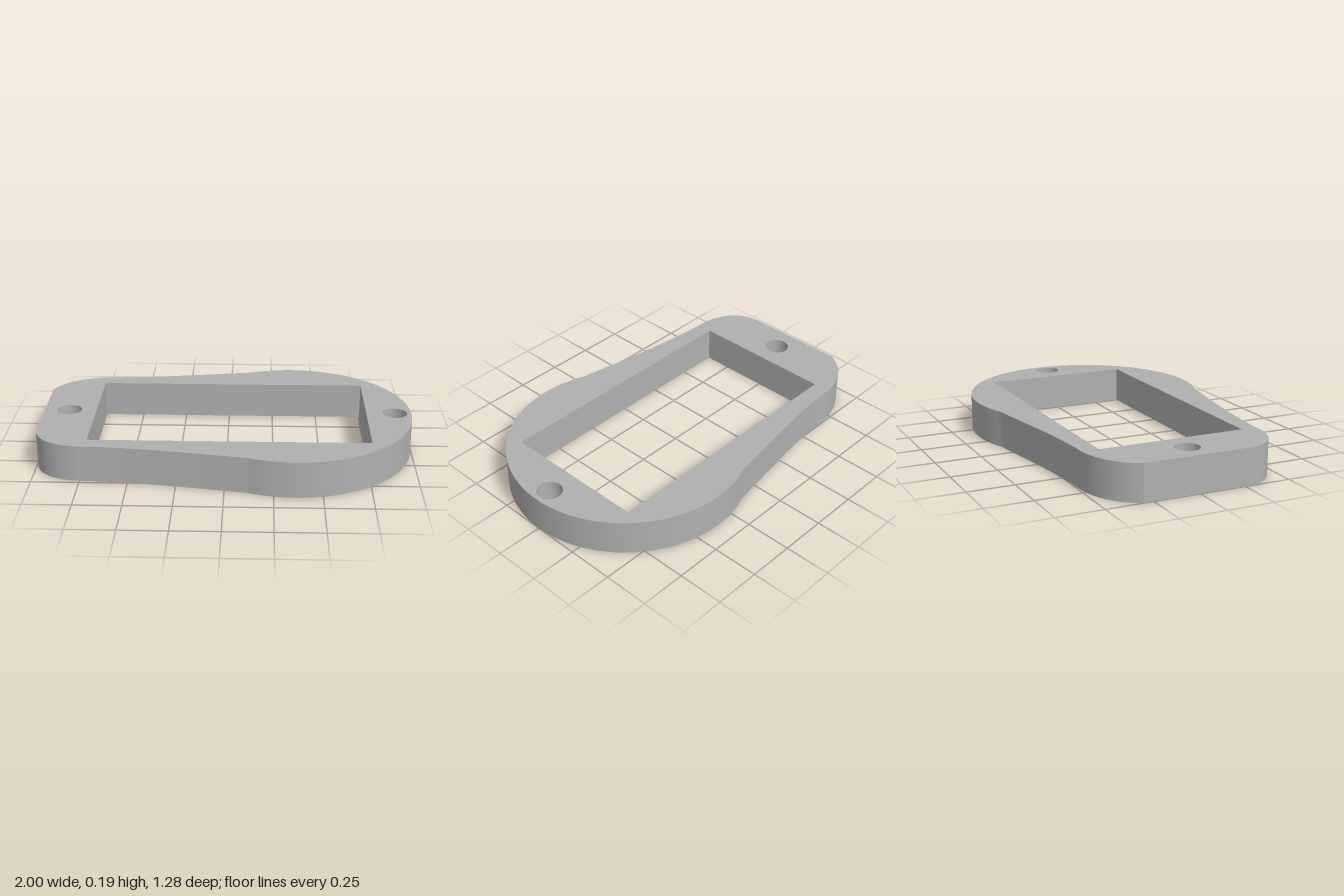
import * as THREE from 'three';
import { toCreasedNormals } from 'three/addons/utils/BufferGeometryUtils.js';

const HEIGHT = 0.195;

export function createModel() {
  const group = new THREE.Group();
  group.name = 'mountingFrame';
  const grey = new THREE.MeshStandardMaterial({ color: 0xb0b0b0 });
  grey.name = 'grey';

  // Outline seen from above (shape y is -z): narrow rounded end, flaring sides, round end
  const cx = 0.36, r = 0.64;
  const a = Math.atan2(0.594, 0.12 - cx);
  const outline = new THREE.Shape();
  outline.moveTo(-1, 0.3);
  outline.lineTo(-1, -0.25);
  outline.bezierCurveTo(-1, -0.38, -0.91, -0.465, -0.77, -0.48);
  outline.bezierCurveTo(-0.48, -0.485, -0.2, -0.54, 0.12, -0.594);
  outline.absarc(cx, 0, r, -a, a, false);
  outline.bezierCurveTo(-0.2, 0.545, -0.45, 0.495, -0.71, 0.49);
  outline.bezierCurveTo(-0.85, 0.475, -0.95, 0.41, -1, 0.3);

  // Rectangular window
  const opening = new THREE.Path();
  opening.moveTo(-0.715, -0.397);
  opening.lineTo(-0.715, 0.4);
  opening.lineTo(0.755, 0.4);
  opening.lineTo(0.755, -0.397);
  opening.closePath();
  outline.holes.push(opening);

  // Screw hole at each end
  for (const x of [-0.863, 0.91]) {
    outline.holes.push(new THREE.Path().absarc(x, 0, 0.066, 0, Math.PI * 2, true));
  }

  // Flat plate standing on the ground plane
  let geometry = new THREE.ExtrudeGeometry(outline, { depth: HEIGHT, bevelEnabled: false, curveSegments: 40 });
  geometry.rotateX(-Math.PI / 2);
  geometry = toCreasedNormals(geometry, 0.3);
  const plate = new THREE.Mesh(geometry, grey);
  plate.name = 'framePlate';
  group.add(plate);
  return group;
}
